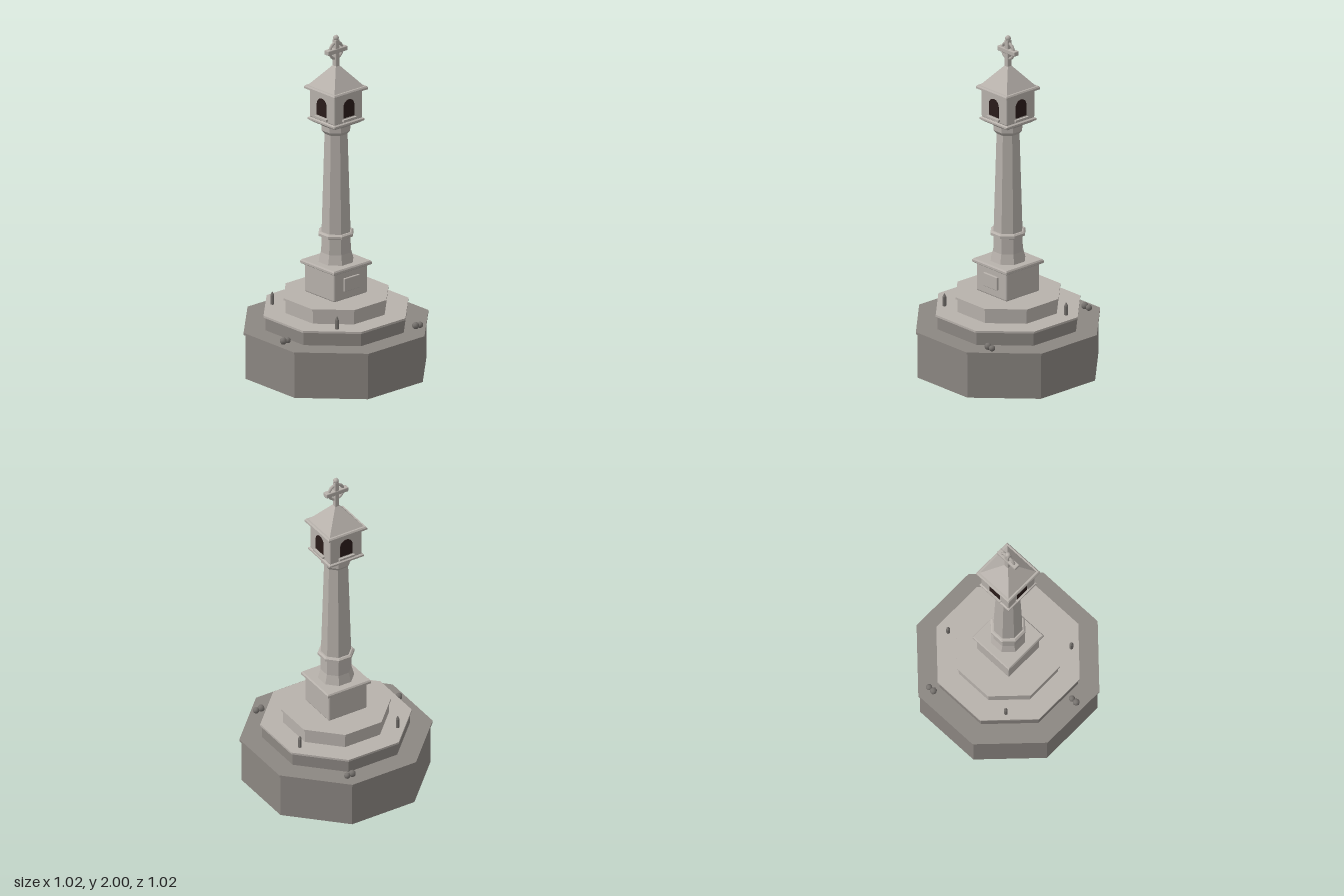
import * as THREE from 'three';
import { RoundedBoxGeometry } from 'three/addons/geometries/RoundedBoxGeometry.js';

const material = (name, color) => {
  const m = new THREE.MeshStandardMaterial({ color });
  m.name = name;
  return m;
};

// Faceted solid of n sides, flats facing the axes; profile is [apothem, y] upward.
function prism(n, profile) {
  const k = 1 / Math.cos(Math.PI / n);
  const pts = profile.map(([r, y]) => new THREE.Vector2(r * k, y));
  pts.unshift(new THREE.Vector2(0, profile[0][1]));
  pts.push(new THREE.Vector2(0, profile[profile.length - 1][1]));
  const g = new THREE.LatheGeometry(pts, n, Math.PI / n).toNonIndexed();
  g.computeVertexNormals();
  return g;
}

export function createModel() {
  const root = new THREE.Group();
  root.name = 'wayside shrine';
  const stone = material('pale stone', 0xb8b2ac);
  const dark = material('dark stone', 0x8c8782);
  const pebble = material('weathered grey', 0x77736f);
  const opening = material('dark opening', 0x2a1c1a);

  const add = (name, geometry, mat, x = 0, y = 0, z = 0, parent = root) => {
    const mesh = new THREE.Mesh(geometry, mat);
    mesh.name = name;
    mesh.position.set(x, y, z);
    parent.add(mesh);
    return mesh;
  };

  // Octagonal plinth and steps, each with an overhanging slab
  add('plinth', prism(8, [[0.5, 0], [0.5, 0.265]]), dark);
  add('plinthSlab', prism(8, [[0.51, 0.264], [0.51, 0.277]]), dark);
  add('lowerStep', prism(8, [[0.39, 0.277], [0.39, 0.356]]), dark);
  add('lowerStepSlab', prism(8, [[0.4, 0.354], [0.4, 0.366]]), stone);
  add('upperStep', prism(8, [[0.28, 0.366], [0.28, 0.446]]), stone);
  add('upperStepSlab', prism(8, [[0.29, 0.444], [0.29, 0.456]]), stone);

  // Square pedestal with its moulding and front plaque
  add('pedestal', new RoundedBoxGeometry(0.254, 0.172, 0.254, 2, 0.01), stone, 0, 0.541, 0);
  add('pedestalMoulding', prism(4, [
    [0.127, 0.618], [0.137, 0.623], [0.143, 0.628], [0.143, 0.64], [0.137, 0.648],
  ]), stone);
  add('plaque', new RoundedBoxGeometry(0.116, 0.08, 0.02, 1, 0.004), stone, 0, 0.545, 0.128);

  // Octagonal tapering shaft with collar and flared capital
  add('shaft', prism(8, [
    [0.096, 0.648], [0.082, 0.705], [0.08, 0.81], [0.08, 0.825], [0.063, 1.43],
  ]), stone);
  add('collar', prism(8, [
    [0.088, 0.8], [0.097, 0.805], [0.097, 0.82], [0.088, 0.828],
  ]), stone);
  add('capital', prism(8, [
    [0.063, 1.415], [0.08, 1.437], [0.08, 1.467], [0.1, 1.487],
  ]), stone);
  add('capitalSlab', prism(4, [
    [0.09, 1.475], [0.114, 1.492], [0.114, 1.502], [0.1, 1.51],
  ]), stone);

  // Lantern with an arched opening and sill on every side
  add('lantern', new RoundedBoxGeometry(0.214, 0.176, 0.214, 2, 0.008), stone, 0, 1.594, 0);
  const arch = new THREE.Shape();
  arch.moveTo(-0.04, 0).lineTo(0.04, 0).lineTo(0.04, 0.065);
  arch.absarc(0, 0.065, 0.04, 0, Math.PI, false);
  arch.closePath();
  const archGeometry = new THREE.ExtrudeGeometry(arch, { depth: 0.006, bevelEnabled: false, curveSegments: 10 });
  for (let i = 0; i < 4; i++) {
    const side = new THREE.Group();
    side.name = 'lanternSide';
    side.rotation.y = i * Math.PI / 2;
    add('archOpening', archGeometry, opening, 0, 1.538, 0.104, side);
    add('sill', new THREE.BoxGeometry(0.1, 0.012, 0.024), stone, 0, 1.525, 0.109, side);
    root.add(side);
  }

  // Eave and pyramid roof
  add('eave', prism(4, [
    [0.112, 1.67], [0.128, 1.677], [0.128, 1.688], [0.122, 1.696],
  ]), stone);
  add('roof', prism(4, [[0.113, 1.695], [0.012, 1.82]]), stone);

  // Ringed cross with finial
  add('crossUpright', new RoundedBoxGeometry(0.028, 0.17, 0.03, 1, 0.004), stone, 0, 1.89, 0);
  add('crossArm', new RoundedBoxGeometry(0.146, 0.028, 0.036, 1, 0.005), stone, 0, 1.908, 0);
  add('crossRing', new THREE.TorusGeometry(0.047, 0.009, 6, 24), stone, 0, 1.908, 0);
  add('finial', new THREE.SphereGeometry(0.017, 8, 6), stone, 0, 1.983, 0);

  // Small pointed candles on the lower step
  const candle = prism(6, [[0.01, 0], [0.01, 0.055], [0.002, 0.074]]);
  for (const [x, z] of [[-0.24, -0.27], [0.33, -0.142], [-0.236, 0.27]]) {
    add('candle', candle, pebble, x, 0.366, z);
  }

  // Pairs of rounded stones on the plinth
  for (const [x, z] of [[0.166, -0.435], [-0.463, 0.071], [0.256, 0.386]]) {
    add('facetedStone', new THREE.SphereGeometry(0.021, 7, 5), pebble, x, 0.295, z);
    add('roundStone', new THREE.SphereGeometry(0.018, 12, 8), pebble, x + 0.033, 0.292, z);
  }
  return root;
}
